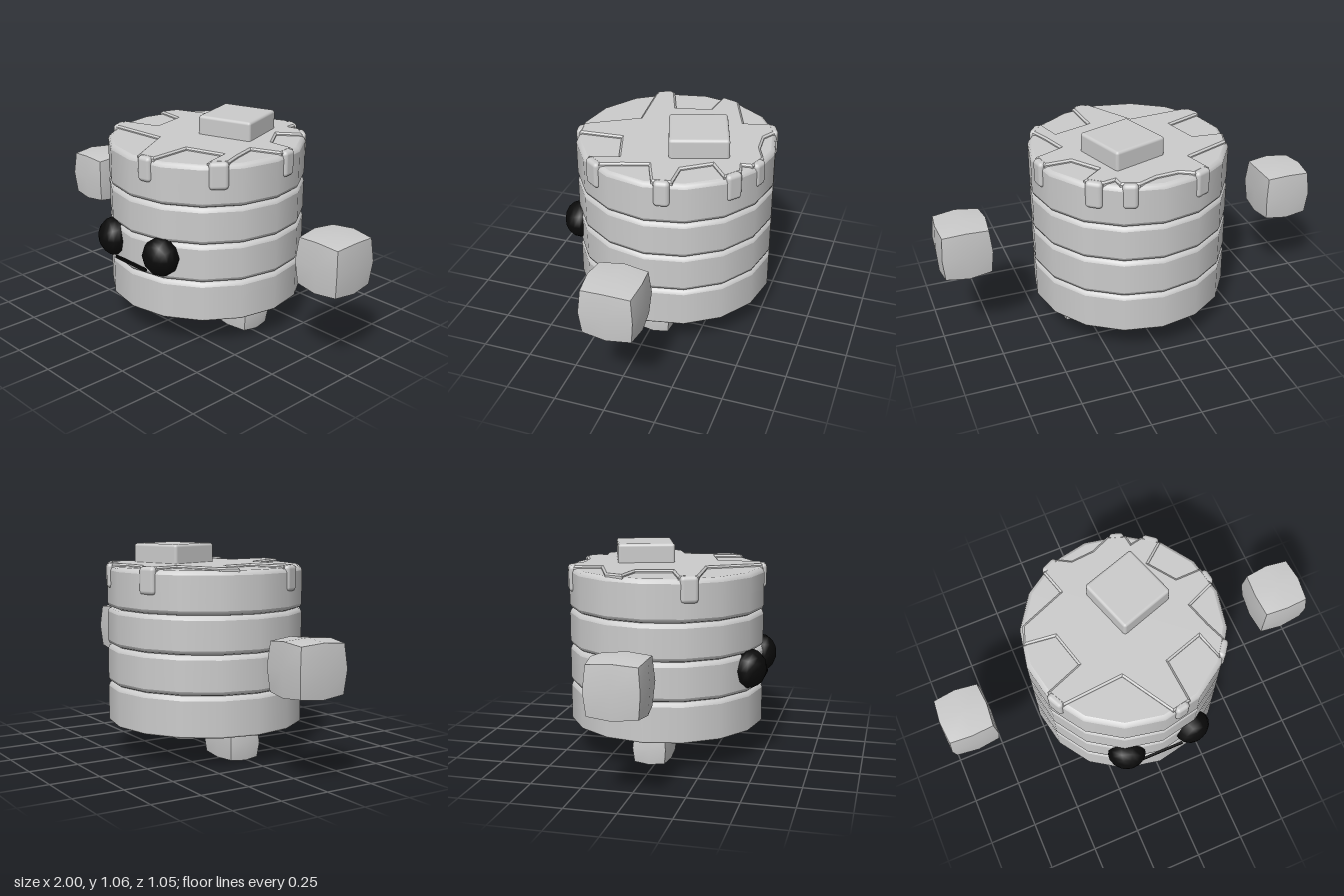
import * as THREE from 'three';
import { RoundedBoxGeometry } from 'three/addons/geometries/RoundedBoxGeometry.js';

const CZ = -0.022; // stack axis
const R = 0.5;
const grey = new THREE.MeshStandardMaterial({ color: 0xcccccc });
const black = new THREE.MeshStandardMaterial({ color: 0x0a0a0a });

function add(parent, name, geometry, material, x, y, z) {
  const mesh = new THREE.Mesh(geometry, material);
  mesh.name = name;
  mesh.position.set(x, y, z);
  parent.add(mesh);
  return mesh;
}

// One round layer with bevelled edges; doubled points keep the creases
function layerGeometry(y0, y1, bottomBevel) {
  const b = bottomBevel, t = 0.022;
  const profile = [
    [0, y0], [R - b, y0], [R - b, y0], [R - b * 0.3, y0 + b * 0.3], [R, y0 + b],
    [R, y0 + b], [R, y1 - t], [R, y1 - t], [R - t * 0.3, y1 - t * 0.3],
    [R - t, y1], [R - t, y1], [0, y1],
  ];
  return new THREE.LatheGeometry(profile.map(([r, y]) => new THREE.Vector2(r, y)), 16);
}

// Cube with two segments a side whose edges and faces bulge outward
function bulgedCube(w, h, d) {
  const g = new THREE.BoxGeometry(2, 2, 2, 2, 2, 2);
  const p = g.attributes.position;
  const scale = { 1: 1, 2: 0.94, 3: 0.86 };
  for (let i = 0; i < p.count; i++) {
    const v = new THREE.Vector3().fromBufferAttribute(p, i);
    const s = scale[Math.round(v.lengthSq())];
    p.setXYZ(i, v.x * s * w / 2, v.y * s * h / 2, v.z * s * d / 2);
  }
  g.computeVertexNormals();
  return g;
}

export function createModel() {
  const model = new THREE.Group();
  model.name = 'pancakeStack';

  // Stack of four layers
  [[0.155, 0.357, 0.008], [0.357, 0.552, 0.022], [0.552, 0.74, 0.022], [0.74, 0.951, 0.022]]
    .forEach(([y0, y1, b], i) => add(model, `pancake${i + 1}`, layerGeometry(y0, y1, b), grey, 0, 0, CZ));

  // Syrup: arms reaching the rim at given angles, each followed by its notch (x, z)
  const arms = [
    [11, [0.115, 0.24], [0.32, 0.175]],
    [54, [0.37, 0.15], [0.33, 0.02]],
    [100, [0.33, -0.12], [0.23, -0.26]],
    [141, [0.2, -0.38]],
    [161, [0.02, -0.42], [-0.1, -0.41]],
    [205, [-0.2, -0.28]],
    [252, [-0.31, -0.09], [-0.26, 0.1]],
    [296, [-0.1, 0.22]],
  ];
  const outline = [];
  for (const [deg, ...notch] of arms) {
    for (const side of [-5, 5]) {
      const a = THREE.MathUtils.degToRad(deg + side);
      outline.push(new THREE.Vector2(0.475 * Math.sin(a), -0.475 * Math.cos(a)));
    }
    notch.forEach(([x, z]) => outline.push(new THREE.Vector2(x, -z)));
  }
  const syrup = new THREE.ExtrudeGeometry(new THREE.Shape(outline), {
    depth: 0.02, bevelEnabled: true, bevelThickness: 0.008, bevelSize: 0.01, bevelSegments: 1,
  });
  syrup.rotateX(-Math.PI / 2);
  add(model, 'syrup', syrup, grey, 0, 0.937, CZ);

  // Drips running over the rim
  for (const [deg, width, low] of [
    [11, 0.075, 0.84], [54, 0.095, 0.83], [100, 0.078, 0.835], [141, 0.085, 0.83],
    [161, 0.075, 0.84], [205, 0.09, 0.83], [296, 0.09, 0.835],
  ]) {
    const a = THREE.MathUtils.degToRad(deg);
    const drip = add(model, 'syrupDrip', new RoundedBoxGeometry(width, 0.965 - low, 0.05, 2, 0.02), grey,
      0.481 * Math.sin(a), (0.965 + low) / 2, CZ + 0.481 * Math.cos(a));
    drip.rotation.y = a;
  }

  // Butter pat
  const butter = add(model, 'butter', new RoundedBoxGeometry(0.29, 0.14, 0.29, 2, 0.015), grey, 0.08, 0.99, -0.16);
  butter.rotation.y = THREE.MathUtils.degToRad(18.3);

  // Face
  for (const s of [-1, 1]) {
    const eye = add(model, s > 0 ? 'leftEye' : 'rightEye', new THREE.SphereGeometry(1, 10, 8), black,
      s * 0.182, 0.476, 0.444);
    eye.geometry.rotateX(Math.PI / 2);
    eye.scale.set(0.096, 0.098, 0.078);
    eye.rotation.y = s * 0.35;
  }
  add(model, 'mouth', new THREE.BoxGeometry(0.23, 0.014, 0.012), black, 0, 0.395, 0.484);

  // Floating hands and feet
  for (const s of [-1, 1]) {
    const side = s > 0 ? 'left' : 'right';
    add(model, side + 'Hand', bulgedCube(0.265, 0.268, 0.275), grey, s * 0.866, 0.539, CZ);
    add(model, side + 'Foot', bulgedCube(0.265, 0.17, 0.178), grey, s * 0.255, 0.085, CZ);
  }
  return model;
}
